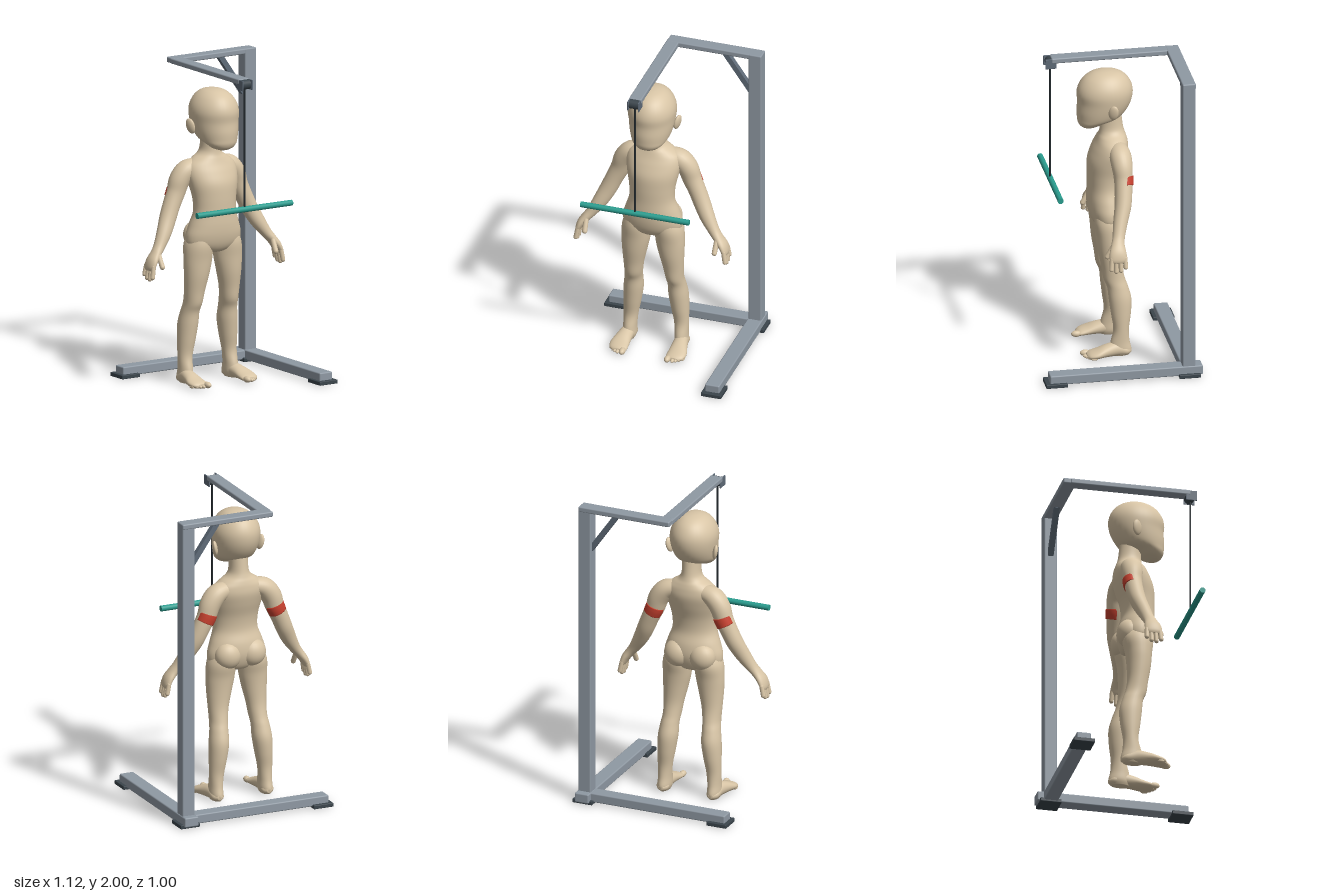
import * as THREE from 'three';
import { RoundedBoxGeometry } from 'three/addons/geometries/RoundedBoxGeometry.js';

const mat = (name, color) => Object.assign(new THREE.MeshStandardMaterial({ color }), { name });

// Catmull-Rom interpolation of rows of numbers
function smoothRows(rows, steps) {
  const out = [], at = i => rows[Math.max(0, Math.min(rows.length - 1, i))];
  for (let i = 0; i < rows.length - 1; i++) {
    for (let k = 0; k < steps; k++) {
      const t = k / steps, [a, b, c, d] = [at(i - 1), at(i), at(i + 1), at(i + 2)];
      out.push(b.map((_, j) => 0.5 * (2 * b[j] + (c[j] - a[j]) * t
        + (2 * a[j] - 5 * b[j] + 4 * c[j] - d[j]) * t * t
        + (3 * b[j] - a[j] - 3 * c[j] + d[j]) * t * t * t)));
    }
  }
  out.push(rows[rows.length - 1]);
  return out;
}

// Closed loft through elliptical rings [x, y, z, halfU, halfV].
// mode 'y': rings lie flat; 'z': rings face forward; 'path': rings follow the path in x-y
function loft(rows, mode, side = 1, seg = 28) {
  const R = smoothRows(rows, 5), pos = [], idx = [], n = R.length;
  R.forEach(([x, y, z, a, b], i) => {
    let u = [1, 0, 0], v = mode === 'z' ? [0, 1, 0] : [0, 0, 1];
    if (mode === 'path') {
      const p = R[Math.max(0, i - 1)], q = R[Math.min(n - 1, i + 1)];
      const l = Math.hypot(q[0] - p[0], q[1] - p[1]);
      u = [-(q[1] - p[1]) / l, (q[0] - p[0]) / l, 0];
    }
    for (let k = 0; k < seg; k++) {
      const t = k / seg * Math.PI * 2, c = a * Math.cos(t), s = b * Math.sin(t);
      pos.push(side * (x + u[0] * c + v[0] * s), y + u[1] * c + v[1] * s, z + u[2] * c + v[2] * s);
    }
  });
  for (const r of [R[0], R[n - 1]]) pos.push(side * r[0], r[1], r[2]);
  for (let k = 0; k < seg; k++) {
    const m = (k + 1) % seg;
    for (let i = 0; i < n - 1; i++) {
      const a = i * seg + k, b = i * seg + m;
      idx.push(a, b, a + seg, b, b + seg, a + seg);
    }
    idx.push(n * seg, m, k, n * seg + 1, (n - 1) * seg + k, (n - 1) * seg + m);
  }
  // Turn the faces outward by the sign of the enclosed volume
  let vol = 0;
  const P = i => new THREE.Vector3().fromArray(pos, i * 3);
  for (let i = 0; i < idx.length; i += 3) vol += P(idx[i]).dot(P(idx[i + 1]).cross(P(idx[i + 2])));
  if (vol < 0) idx.reverse();
  const g = new THREE.BufferGeometry();
  g.setAttribute('position', new THREE.Float32BufferAttribute(pos, 3));
  g.setIndex(idx);
  g.computeVertexNormals();
  return g;
}

// Flat rings given as [y, centreX, halfWidth, frontZ, backZ]
const flat = rows => rows.map(([y, x, w, f, b]) => [x, y, (f + b) / 2, w, (f - b) / 2]);

export function createModel() {
  const root = new THREE.Group();
  const skin = mat('skin', 0xd8c5a6), metal = mat('greyMetal', 0x8f99a3), rubber = mat('darkRubber', 0x3b454c);
  const steel = mat('slateSteel', 0x5f6b78), teal = mat('tealBar', 0x2a9d8f);
  const red = mat('redBand', 0xc8412f), black = mat('blackCable', 0x22292d);
  const add = (parent, name, geo, m) => {
    const mesh = new THREE.Mesh(geo, m);
    mesh.name = name;
    parent.add(mesh);
    return mesh;
  };
  const box = (name, m, [x0, x1], [y0, y1], [z0, z1], r = 0.008) => {
    const g = new RoundedBoxGeometry(x1 - x0, y1 - y0, z1 - z0, 2, r);
    add(root, name, g, m).position.set((x0 + x1) / 2, (y0 + y1) / 2, (z0 + z1) / 2);
  };
  const blob = (parent, name, p, s, m = skin) => {
    const mesh = add(parent, name, new THREE.SphereGeometry(1, 24, 16), m);
    mesh.position.set(...p);
    mesh.scale.set(...s);
    return mesh;
  };
  const finger = (parent, name, a, b, r) => {
    const A = new THREE.Vector3(...a), B = new THREE.Vector3(...b), d = B.clone().sub(A);
    const mesh = add(parent, name, new THREE.CapsuleGeometry(r, d.length(), 5, 12), skin);
    mesh.position.copy(A).add(B).multiplyScalar(0.5);
    mesh.quaternion.setFromUnitVectors(new THREE.Vector3(0, 1, 0), d.normalize());
  };

  // Stand
  box('post', metal, [0.45, 0.535], [0.03, 2], [-0.455, -0.372]);
  box('floorBeamAcross', metal, [-0.47, 0.535], [0.015, 0.075], [-0.46, -0.37]);
  box('floorBeamForward', metal, [0.445, 0.54], [0.015, 0.077], [-0.5, 0.47]);
  box('topBeamAcross', metal, [-0.088, 0.535], [1.965, 2], [-0.457, -0.373]);
  box('topBeamForward', metal, [-0.092, -0.01], [1.965, 1.999], [-0.41, 0.36]);
  for (const [x, z] of [[-0.425, -0.416], [0.494, -0.416], [0.494, 0.43]]) {
    box('footPad', rubber, [x - 0.067, x + 0.067], [0.003, 0.028], [z - 0.068, z + 0.068], 0.004);
  }
  const brace = add(root, 'brace', new THREE.BoxGeometry(0.034, 0.31, 0.034), steel);
  brace.position.set(0.372, 1.842, -0.414);
  brace.rotation.z = Math.atan2(0.175, 0.25);

  // Pulley, cable and bar
  for (const x of [-0.086, -0.016]) {
    box('pulleyCheek', steel, [x - 0.004, x + 0.004], [1.93, 1.995], [0.328, 0.4], 0.003);
  }
  const pulley = add(root, 'pulley', new THREE.CylinderGeometry(0.031, 0.031, 0.062, 24), rubber);
  pulley.rotation.z = Math.PI / 2;
  pulley.position.set(-0.051, 1.963, 0.362);
  add(root, 'cable', new THREE.CylinderGeometry(0.006, 0.006, 0.78, 10), black).position.set(-0.051, 1.56, 0.364);
  const bar = add(root, 'bar', new THREE.CylinderGeometry(0.0185, 0.0185, 0.714, 20), teal);
  bar.rotation.z = Math.PI / 2;
  bar.position.set(-0.051, 1.165, 0.361);

  // Figure
  const figure = new THREE.Group();
  figure.name = 'figure';
  figure.position.x = -0.05;
  root.add(figure);
  add(figure, 'head', loft(flat([
    [1.507, 0, 0.035, 0.155, 0.11], [1.52, 0, 0.07, 0.175, 0.06], [1.545, 0, 0.1, 0.188, 0.01],
    [1.575, 0, 0.122, 0.192, -0.075], [1.62, 0, 0.136, 0.194, -0.12], [1.68, 0, 0.146, 0.19, -0.15],
    [1.74, 0, 0.15, 0.194, -0.16], [1.79, 0, 0.138, 0.18, -0.15], [1.835, 0, 0.11, 0.148, -0.122],
    [1.865, 0, 0.074, 0.102, -0.08], [1.878, 0, 0.035, 0.055, -0.03], [1.881, 0, 0.003, 0.016, 0.01]
  ]), 'y', 1, 36), skin);
  add(figure, 'torso', loft(flat([
    [0.835, 0, 0.03, 0.04, -0.03], [0.85, 0, 0.11, 0.08, -0.065], [0.89, 0, 0.182, 0.108, -0.09],
    [0.95, 0, 0.193, 0.125, -0.105], [1.02, 0, 0.173, 0.131, -0.1], [1.1, 0, 0.147, 0.129, -0.078],
    [1.19, 0, 0.15, 0.13, -0.085], [1.28, 0, 0.168, 0.125, -0.112], [1.35, 0, 0.178, 0.1, -0.128],
    [1.4, 0, 0.165, 0.076, -0.126], [1.435, 0, 0.122, 0.062, -0.118], [1.465, 0, 0.078, 0.052, -0.107],
    [1.51, 0, 0.06, 0.048, -0.097], [1.62, 0, 0.06, 0.045, -0.085]
  ]), 'y', 1, 36), skin);

  for (const s of [-1, 1]) {
    const label = s > 0 ? 'left' : 'right';
    const ear = blob(figure, label + 'Ear', [s * 0.155, 1.65, -0.012], [0.016, 0.05, 0.032]);
    ear.rotation.set(-0.2, s * -0.35, s * -0.22);
    blob(figure, label + 'Buttock', [s * 0.084, 0.945, -0.05], [0.088, 0.09, 0.076]);

    // Leg and foot
    add(figure, label + 'Leg', loft(flat([
      [1, 0.095, 0.05, 0.08, -0.06], [0.9, 0.105, 0.09, 0.1, -0.095], [0.8, 0.112, 0.093, 0.09, -0.078],
      [0.7, 0.121, 0.081, 0.08, -0.07], [0.6, 0.13, 0.066, 0.062, -0.07], [0.52, 0.135, 0.058, 0.05, -0.085],
      [0.46, 0.142, 0.058, 0.027, -0.105], [0.38, 0.148, 0.063, 0.018, -0.125], [0.28, 0.157, 0.057, 0.005, -0.12],
      [0.18, 0.166, 0.047, -0.008, -0.106], [0.1, 0.169, 0.043, 0.01, -0.11], [0.04, 0.17, 0.043, 0.02, -0.122],
      [0.008, 0.17, 0.03, 0.01, -0.105]
    ]), 'y', s), skin);
    // Forward rings: x, y, z, half width, half height
    add(figure, label + 'Foot', loft([
      [0.17, 0.035, -0.12, 0.015, 0.015], [0.171, 0.038, -0.09, 0.04, 0.032], [0.176, 0.052, -0.03, 0.044, 0.046],
      [0.184, 0.046, 0.04, 0.052, 0.04], [0.19, 0.034, 0.1, 0.061, 0.029], [0.185, 0.026, 0.145, 0.056, 0.021],
      [0.178, 0.022, 0.165, 0.035, 0.012]
    ], 'z', s), skin);
    for (let i = 0; i < 5; i++) {
      const r = i ? 0.0125 - i * 0.0005 : 0.02;
      const x = i ? 0.162 + i * 0.0185 : 0.149;
      blob(figure, label + 'Toe', [s * x, 0.006 + r, 0.17 - i * i * 0.0022 - i * 0.003], [r, r, r + 0.012]);
    }

    // Arm rings: x, y, z, half thickness, half depth
    add(figure, label + 'Arm', loft([
      [0.09, 1.385, -0.05, 0.05, 0.055], [0.16, 1.362, -0.052, 0.064, 0.068], [0.208, 1.305, -0.056, 0.066, 0.066],
      [0.235, 1.23, -0.058, 0.061, 0.058], [0.272, 1.15, -0.053, 0.056, 0.055], [0.308, 1.07, -0.042, 0.054, 0.053],
      [0.35, 0.99, -0.02, 0.048, 0.047], [0.398, 0.915, 0, 0.036, 0.04], [0.432, 0.872, 0.012, 0.03, 0.043],
      [0.464, 0.83, 0.017, 0.027, 0.053], [0.482, 0.79, 0.017, 0.02, 0.054], [0.488, 0.77, 0.017, 0.01, 0.035]
    ], 'path', s), skin);
    const tips = [0.742, 0.722, 0.718, 0.732];
    tips.forEach((y, i) => {
      const z = -0.025 + i * 0.0275;
      finger(figure, label + 'Finger', [s * 0.479, 0.8, z], [s * 0.491, y, z * 1.1], 0.0145);
    });
    finger(figure, label + 'Thumb', [s * 0.43, 0.865, 0.04], [s * 0.427, 0.795, 0.078], 0.0165);

    // Band lying on the back of the upper arm
    add(figure, label + 'ArmBand', loft([
      [0.228, 1.247, -0.066, 0.06, 0.057], [0.2375, 1.222, -0.067, 0.0595, 0.056], [0.252, 1.192, -0.065, 0.0575, 0.055]
    ], 'path', s), red);
  }
  return root;
}
